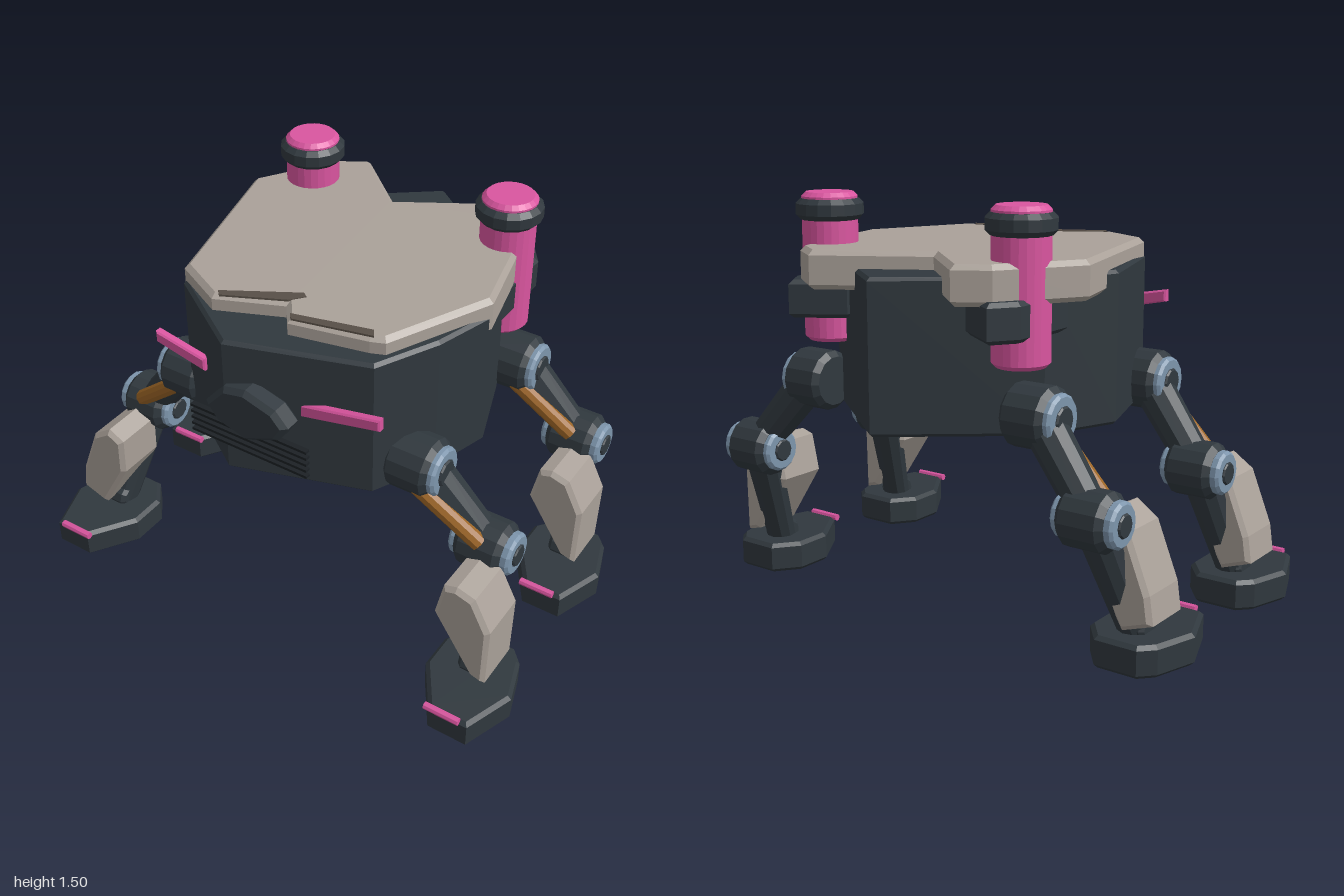
import * as THREE from 'three';

const mat = (name, color) => {
  const m = new THREE.MeshStandardMaterial({ color, flatShading: true });
  m.name = name;
  return m;
};

export function createModel() {
  const dark = mat('charcoal', 0x30383e);
  const black = mat('ventBlack', 0x1c2125);
  const beige = mat('warmGrey', 0xaaa199);
  const brown = mat('wornBrown', 0x584f47);
  const pink = mat('pink', 0xd9559f);
  const blue = mat('steelBlue', 0x7d95ac);
  const orange = mat('ochre', 0x9c6526);
  const root = new THREE.Group();
  root.name = 'fourLeggedWalker';

  const add = (parent, name, geo, material) => {
    const m = new THREE.Mesh(geo, material);
    m.name = name;
    parent.add(m);
    return m;
  };
  // Chamfered prism of an x,y outline between z0 and z1
  const prism = (pts, z0, z1, b) => {
    const shape = new THREE.Shape(pts.map(p => new THREE.Vector2(p[0], p[1])));
    return new THREE.ExtrudeGeometry(shape, {
      depth: z1 - z0 - 2 * b, bevelEnabled: b > 0, bevelSize: b,
      bevelThickness: b, bevelOffset: -b, bevelSegments: 1,
    }).translate(0, 0, z0 + b);
  };
  // Chamfered slab of an x,z outline between y0 and y1
  const slab = (pts, y0, y1, b) =>
    prism(pts.map(([x, z]) => [x, -z]), y0, y1, b).rotateX(-Math.PI / 2);
  // Chamfered drum about y, or about x
  const drum = (r, h, c, n = 14) => new THREE.LatheGeometry([
    [0, -h / 2], [r - c, -h / 2], [r, -h / 2 + c], [r, h / 2 - c], [r - c, h / 2], [0, h / 2],
  ].map(p => new THREE.Vector2(...p)), n);
  const axle = (r, h, c, n) => drum(r, h, c, n).rotateZ(-Math.PI / 2);
  // Tapered rod between two points
  const rod = (a, b, r0, r1, n = 10) => {
    const p = new THREE.Vector3(...a), q = new THREE.Vector3(...b);
    const d = q.clone().sub(p);
    const g = new THREE.CylinderGeometry(r1, r0, d.length(), n);
    g.applyQuaternion(new THREE.Quaternion().setFromUnitVectors(
      new THREE.Vector3(0, 1, 0), d.normalize()));
    return g.translate(...p.add(q).multiplyScalar(0.5).toArray());
  };

  // Hull and its roof plate
  add(root, 'hull', slab([
    [0, -0.69], [0.46, -0.33], [0.565, -0.03], [0.5, 0.2], [0.39, 0.43],
    [-0.1, 0.59], [-0.43, 0.37], [-0.57, -0.05], [-0.46, -0.33],
  ], 0.72, 1.26, 0.012), dark);
  add(root, 'roofPlate', slab([
    [-0.305, -0.64], [-0.065, -0.42], [0.305, -0.64], [0.42, -0.56], [0.5, -0.31],
    [0.567, -0.03], [0.39, 0.36], [0.34, 0.38], [0.06, 0.44], [0, 0.36],
    [-0.235, 0.46], [-0.43, 0.36], [-0.6, -0.28], [-0.42, -0.57],
  ], 1.185, 1.322, 0.018), beige);
  add(root, 'roofWearLeft', slab([
    [0.05, 0.41], [0.07, 0.435], [0.35, 0.37], [0.33, 0.34],
  ], 1.318, 1.325, 0), brown);
  add(root, 'roofWearRight', slab([
    [-0.21, 0.45], [-0.23, 0.43], [0.02, 0.285], [0.04, 0.3], [0, 0.35],
  ], 1.318, 1.325, 0), brown);

  // Face: sensor pod, vents and light bars
  add(root, 'sensorPod', prism([
    [-0.09, 1.09], [0, 1.11], [0.12, 1.075], [0.17, 1.02], [0.13, 0.955],
    [0, 0.9], [-0.12, 0.935], [-0.17, 1.0],
  ], 0.53, 0.62, 0.018), dark);
  for (let i = 0; i < 5; i++) {
    add(root, 'vent', new THREE.BoxGeometry(0.48, 0.01, 0.02)
      .translate(0, 0.95 - i * 0.026, 0.595), black);
  }
  add(root, 'lightBarRight', prism([
    [-0.46, 1.115], [-0.46, 1.07], [-0.25, 1.025], [-0.25, 1.075],
  ], 0.475, 0.508, 0.006), pink);
  add(root, 'lightBarLeft', prism([
    [0.46, 1.115], [0.46, 1.07], [0.15, 1.0], [0.15, 1.05],
  ], 0.475, 0.508, 0.006), pink);

  // Rear masts with collars and brackets
  for (const s of [1, -1]) {
    const mast = new THREE.Group();
    mast.name = s > 0 ? 'leftMast' : 'rightMast';
    root.add(mast);
    add(mast, 'mastTube', drum(0.1, 0.53, 0.015, 24).translate(s * 0.417, 1.235, -0.407), pink);
    add(mast, 'mastCollar', drum(0.121, 0.075, 0.018, 16).translate(s * 0.417, 1.44, -0.407), dark);
    add(mast, 'mastBracket', slab([
      [0.28, -0.14], [0.46, -0.115], [0.495, -0.25], [0.495, -0.52], [0.43, -0.615], [0.26, -0.5],
    ].map(([x, z]) => [s * x, z]), 1.07, 1.205, 0.015), dark);
  }

  // Shin armour outlines for each side
  const shin = {
    1: [[0.72, 0.52], [0.77, 0.535], [0.84, 0.515], [0.905, 0.39], [0.9, 0.14], [0.84, 0.155], [0.69, 0.38]],
    '-1': [[-0.76, 0.535], [-0.695, 0.5], [-0.7, 0.35], [-0.82, 0.14], [-0.935, 0.18], [-0.92, 0.28], [-0.84, 0.48]],
  };
  const foot = [[0.668, 0.36], [0.668, 0.5], [0.78, 0.672], [0.93, 0.672],
    [1, 0.48], [0.95, 0.32], [0.9, 0.268], [0.74, 0.268]];

  // Four legs
  for (const s of [1, -1]) {
    for (const dz of [0, -0.712]) {
      const leg = new THREE.Group();
      leg.name = (dz ? 'rear' : 'front') + (s > 0 ? 'Left' : 'Right') + 'Leg';
      leg.position.z = dz;
      root.add(leg);
      // Hip joint
      add(leg, 'hip', axle(0.11, 0.17, 0.02).translate(s * 0.485, 0.813, 0.294), dark);
      add(leg, 'hipRing', axle(0.09, 0.04, 0.01).translate(s * 0.575, 0.813, 0.294), blue);
      add(leg, 'hipPin', axle(0.05, 0.05, 0.006, 10).translate(s * 0.578, 0.813, 0.294), dark);
      // Upper limb with piston
      add(leg, 'thigh', rod([s * 0.51, 0.81, 0.285], [s * 0.74, 0.535, 0.24], 0.075, 0.065), dark);
      add(leg, 'piston', rod([s * 0.52, 0.765, 0.355], [s * 0.745, 0.575, 0.305], 0.032, 0.032), orange);
      // Knee joint
      add(leg, 'knee', axle(0.103, 0.18, 0.022).translate(s * 0.742, 0.525, 0.238), dark);
      add(leg, 'kneeRing', axle(0.08, 0.235, 0.01).translate(s * 0.745, 0.525, 0.238), blue);
      add(leg, 'kneePin', axle(0.042, 0.25, 0.005, 10).translate(s * 0.745, 0.525, 0.238), dark);
      // Lower limb, armour and foot
      add(leg, 'shinStrut', rod([s * 0.75, 0.5, 0.25], [s * 0.82, 0.09, 0.41], 0.07, 0.055), dark);
      add(leg, 'ankle', axle(0.055, 0.1, 0.015, 10).translate(s * 0.82, 0.125, 0.41), dark);
      add(leg, 'shinArmour', prism(shin[s], 0.295, 0.51, 0.016), beige);
      add(leg, 'foot', slab(foot.map(([x, z]) => [s * x, z]), 0, 0.115, 0.014), dark);
      add(leg, 'toeLight', rod([s * 0.765, 0.114, 0.673], [s * 0.9, 0.114, 0.673], 0.014, 0.014, 8), pink);
    }
  }
  return root;
}
